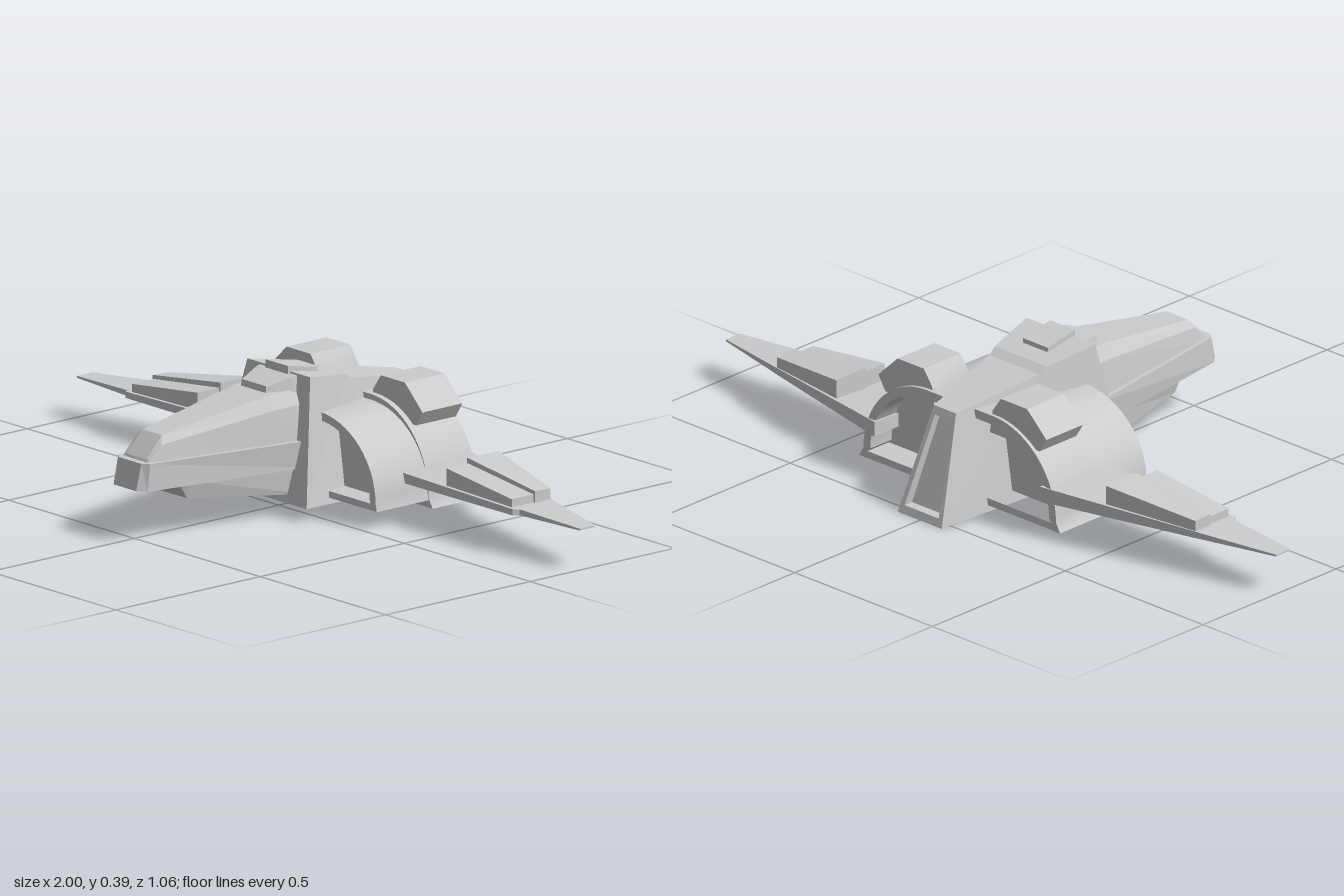
import * as THREE from 'three';
import { toCreasedNormals } from 'three/addons/utils/BufferGeometryUtils.js';

const material = new THREE.MeshStandardMaterial({ color: 0xcccccc });

function addMesh(parent, name, geometry) {
  const mesh = new THREE.Mesh(geometry, material);
  mesh.name = name;
  parent.add(mesh);
  return mesh;
}

// Faceted solid through rings of [x, y, z] corners, closed at both ends
function loft(rings) {
  const tris = [];
  const n = rings[0].length;
  for (let r = 0; r < rings.length - 1; r++) {
    for (let i = 0; i < n; i++) {
      const j = (i + 1) % n;
      const a = rings[r][i], b = rings[r][j], c = rings[r + 1][j], d = rings[r + 1][i];
      tris.push([a, b, c], [a, c, d]);
    }
  }
  const first = rings[0], last = rings[rings.length - 1];
  for (let i = 1; i < n - 1; i++) {
    tris.push([first[0], first[i + 1], first[i]], [last[0], last[i], last[i + 1]]);
  }
  // Turn every face outward using the signed volume
  const v = (p) => new THREE.Vector3(...p);
  let volume = 0;
  for (const [a, b, c] of tris) volume += v(a).dot(v(b).cross(v(c)));
  const flat = tris.flatMap(([a, b, c]) => (volume > 0 ? [a, b, c] : [a, c, b])).flat();
  const geometry = new THREE.BufferGeometry();
  geometry.setAttribute('position', new THREE.Float32BufferAttribute(flat, 3));
  geometry.computeVertexNormals();
  return geometry;
}

// Symmetric ring from its right half, listed bottom to top as [halfWidth, y, z]
const ring = (...half) => [
  ...half,
  ...half.slice().reverse().map(([x, y, z]) => [-x, y, z]),
];

// Ring rows at x, y, z mirrored to either side
const sided = (s, rings) => rings.map((r) => r.map(([x, y, z]) => [s * x, y, z]));

// Flat prism of a side-to-side outline, extruded along z
function prism(s, points, z0, z1, hole) {
  const toVec = (list) => list.map(([x, y]) => new THREE.Vector2(s * x, y));
  const shape = new THREE.Shape(toVec(points));
  if (hole) shape.holes.push(new THREE.Path(toVec(hole)));
  const geometry = new THREE.ExtrudeGeometry(shape, { depth: z1 - z0, bevelEnabled: false });
  geometry.translate(0, 0, z0);
  return toCreasedNormals(geometry, 0.5);
}

// Quarter-round outline with a flat floor
function archOutline(inner, outer, foot, floor, spring, top) {
  const points = [[inner, floor], [foot, floor]];
  const cx = 0.12;
  for (let i = 0; i <= 16; i++) {
    const t = (i / 16) * Math.PI / 2;
    points.push([cx + (outer - cx) * Math.cos(t), spring + (top - spring) * Math.sin(t)]);
  }
  points.push([inner, top]);
  return points;
}

function addSide(parent, s) {
  const side = new THREE.Group();
  side.name = s > 0 ? 'leftSide' : 'rightSide';
  parent.add(side);

  // Engine housing: two open arches with a bulkhead inside each
  const frontOut = archOutline(0.04, 0.345, 0.35, 0.05, 0.07, 0.275);
  const frontIn = archOutline(0.06, 0.322, 0.325, 0.068, 0.075, 0.253);
  const rearOut = archOutline(0.03, 0.35, 0.365, 0.03, 0.055, 0.29);
  const rearIn = archOutline(0.045, 0.325, 0.335, 0.05, 0.06, 0.265);
  addMesh(side, 'frontEngineShell', prism(s, frontOut, -0.22, -0.035, frontIn));
  addMesh(side, 'frontBulkhead', prism(s, frontIn, -0.22, -0.1));
  addMesh(side, 'rearEngineShell', prism(s, rearOut, -0.38, -0.215, rearIn));
  addMesh(side, 'rearBulkhead', prism(s, rearIn, -0.3, -0.216));

  // Chamfered block on the housing
  addMesh(side, 'engineBlock', prism(s,
    [[0.1, 0.235], [0.28, 0.235], [0.305, 0.275], [0.285, 0.295], [0.235, 0.342], [0.14, 0.342], [0.11, 0.3]],
    -0.37, -0.232));

  // Tapered wing with a notch at the outer leading edge
  addMesh(side, 'wing', loft(sided(s, [
    [[0.3, 0.107, -0.14], [0.3, 0.135, -0.14], [0.3, 0.147, -0.39], [0.3, 0.105, -0.39]],
    [[0.77, 0.109, -0.14], [0.77, 0.126, -0.14], [0.77, 0.126, -0.281], [0.77, 0.108, -0.281]],
    [[0.78, 0.109, -0.155], [0.78, 0.125, -0.155], [0.78, 0.125, -0.278], [0.78, 0.108, -0.278]],
    [[1, 0.11, -0.172], [1, 0.115, -0.172], [1, 0.115, -0.225], [1, 0.11, -0.225]],
  ])));

  // Weapon pod on the wing: front block and raised slab behind
  addMesh(side, 'wingPodFront', loft(sided(s, [
    [[0.495, 0.115, -0.15], [0.495, 0.178, -0.15], [0.495, 0.178, -0.235], [0.495, 0.115, -0.235]],
    [[0.755, 0.115, -0.15], [0.755, 0.148, -0.15], [0.755, 0.148, -0.235], [0.755, 0.115, -0.235]],
  ])));
  addMesh(side, 'wingPodSlab', loft(sided(s, [
    [[0.49, 0.115, -0.225], [0.49, 0.193, -0.225], [0.49, 0.19, -0.336], [0.49, 0.12, -0.336]],
    [[0.76, 0.115, -0.225], [0.76, 0.158, -0.225], [0.76, 0.155, -0.28], [0.76, 0.115, -0.28]],
  ])));
}

export function createModel() {
  const model = new THREE.Group();
  model.name = 'spacecraft';

  // Central hull, ending in a recessed slanted rear panel
  addMesh(model, 'centralHull', loft([
    ring([0.18, 0.04, 0.06], [0.125, 0.375, 0]),
    ring([0.141, 0.025, -0.17], [0.095, 0.35, -0.15]),
    ring([0.136, 0.024, -0.2], [0.09, 0.335, -0.175]),
    ring([0.08, 0.003, -0.53], [0.04, 0.29, -0.435]),
    ring([0.062, 0.025, -0.523], [0.03, 0.268, -0.442]),
    ring([0.062, 0.025, -0.495], [0.03, 0.268, -0.42]),
  ]));

  // Nose slab with a blunted tip
  addMesh(model, 'noseSlab', loft([
    ring([0.12, 0.13, 0], [0.128, 0.205, 0]),
    ring([0.064, 0.144, 0.51], [0.064, 0.217, 0.5]),
    ring([0.045, 0.146, 0.533], [0.045, 0.217, 0.515]),
  ]));

  // Bevelled cabin above the nose slab
  addMesh(model, 'cabin', loft([
    ring([0.112, 0.2, -0.02], [0.1, 0.3, -0.02], [0.078, 0.335, -0.02]),
    ring([0.102, 0.2, 0.1], [0.092, 0.295, 0.1], [0.07, 0.333, 0.09]),
    ring([0.056, 0.21, 0.475], [0.052, 0.258, 0.452], [0.038, 0.28, 0.438]),
    ring([0.05, 0.21, 0.5], [0.049, 0.222, 0.492], [0.04, 0.224, 0.492]),
  ]));

  // Keel under the nose
  addMesh(model, 'keel', loft([
    ring([0.105, 0.055, 0], [0.115, 0.15, 0]),
    ring([0.058, 0.1, 0.368], [0.07, 0.15, 0.368]),
    ring([0.055, 0.138, 0.397], [0.06, 0.15, 0.4]),
  ]));

  // Roof hatch and the sloped fairing in front of it
  addMesh(model, 'roofHatch', loft([
    ring([0.045, 0.34, -0.098], [0.045, 0.371, -0.095]),
    ring([0.045, 0.34, 0.01], [0.045, 0.39, 0.006]),
  ]));
  addMesh(model, 'roofFairing', loft([
    ring([0.085, 0.32, -0.01], [0.075, 0.372, -0.01]),
    ring([0.08, 0.32, 0.02], [0.072, 0.367, 0.015]),
    ring([0.05, 0.325, 0.09], [0.048, 0.35, 0.085]),
  ]));

  for (const s of [1, -1]) addSide(model, s);
  return model;
}
